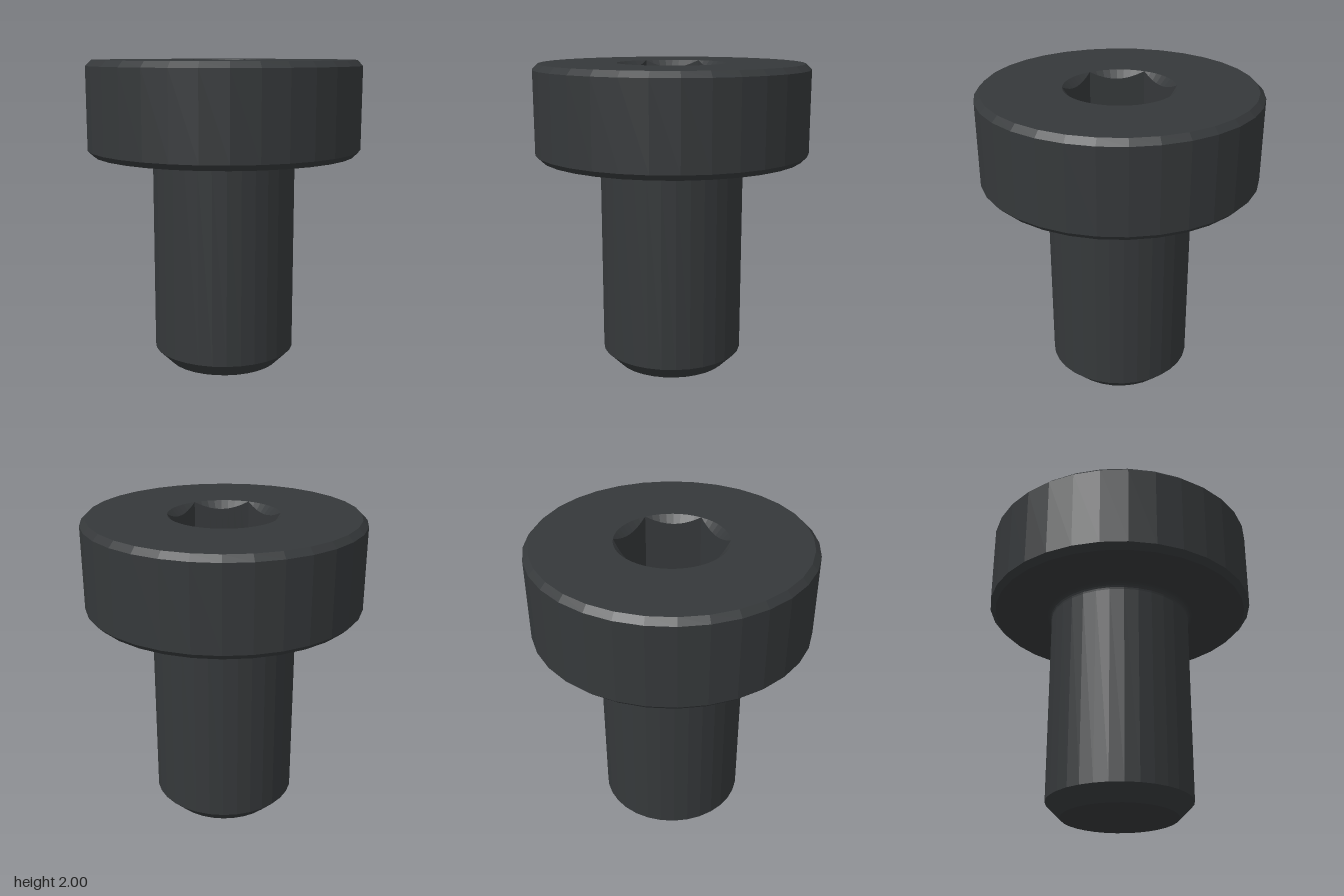
import * as THREE from 'three';

const SIDES = 32;        // facets round the head and shank
const SOCKET_SIDES = 48; // columns round the socket, eight per hexagon side
const SOCKET_R = 0.35;   // corner radius of the hexagon and its countersink

const v = (x, y) => new THREE.Vector2(x, y);

// Points of a regular polygon
const ring = (r, n) => Array.from({ length: n }, (_, i) => {
  const a = (i / n) * Math.PI * 2;
  return v(r * Math.cos(a), r * Math.sin(a));
});

// Hexagonal hole: a lathe whose walls are pulled in to a hexagon
function socketGeometry(top, floor) {
  const profile = [v(SOCKET_R, top), v(SOCKET_R, top), v(SOCKET_R, floor), v(0, floor)];
  const geo = new THREE.LatheGeometry(profile, SOCKET_SIDES);
  const pos = geo.attributes.position;
  const sector = Math.PI / 3;
  for (let i = 0; i < pos.count; i++) {
    const row = i % profile.length;
    if (row !== 1 && row !== 2) continue;
    const x = pos.getX(i), z = pos.getZ(i);
    const a = Math.atan2(z, x) + Math.PI * 2;
    const r = SOCKET_R * Math.cos(sector / 2) / Math.cos((a % sector) - sector / 2);
    const k = r / SOCKET_R;
    // The 45 degree countersink leaves a scallop on each flat
    const y = row === 1 ? top - (SOCKET_R - r) : floor;
    pos.setXYZ(i, x * k, y, z * k);
  }
  geo.computeVertexNormals();
  return geo;
}

export function createModel() {
  const group = new THREE.Group();
  const material = new THREE.MeshStandardMaterial({ color: 0x35383a, flatShading: true });
  const add = (name, geo) => {
    const mesh = new THREE.Mesh(geo, material);
    mesh.name = name;
    group.add(mesh);
    return mesh;
  };

  // Shank with chamfered tip and a small fillet under the head
  const shank = [v(0, 0), v(0.37, 0), v(0.465, 0.095)];
  const fillet = 0.04;
  for (let i = 0; i <= 5; i++) {
    const a = (i / 5) * Math.PI / 2;
    shank.push(v(0.465 + fillet * (1 - Math.cos(a)), 1.4 - fillet + fillet * Math.sin(a)));
  }
  add('shank', new THREE.LatheGeometry(shank, SIDES));

  // Head underside and rim, chamfered on both edges
  add('head', new THREE.LatheGeometry(
    [v(0.505, 1.4), v(0.848, 1.4), v(0.884, 1.436), v(0.884, 1.964), v(0.848, 2)], SIDES));

  // Flat top face with the round socket mouth
  const face = new THREE.Shape(ring(0.848, SIDES));
  face.holes.push(new THREE.Path(ring(SOCKET_R, SOCKET_SIDES)));
  const top = add('headTop', new THREE.ShapeGeometry(face));
  top.rotation.x = -Math.PI / 2;
  top.position.y = 2;

  add('hexSocket', socketGeometry(2, 1.6));
  return group;
}
